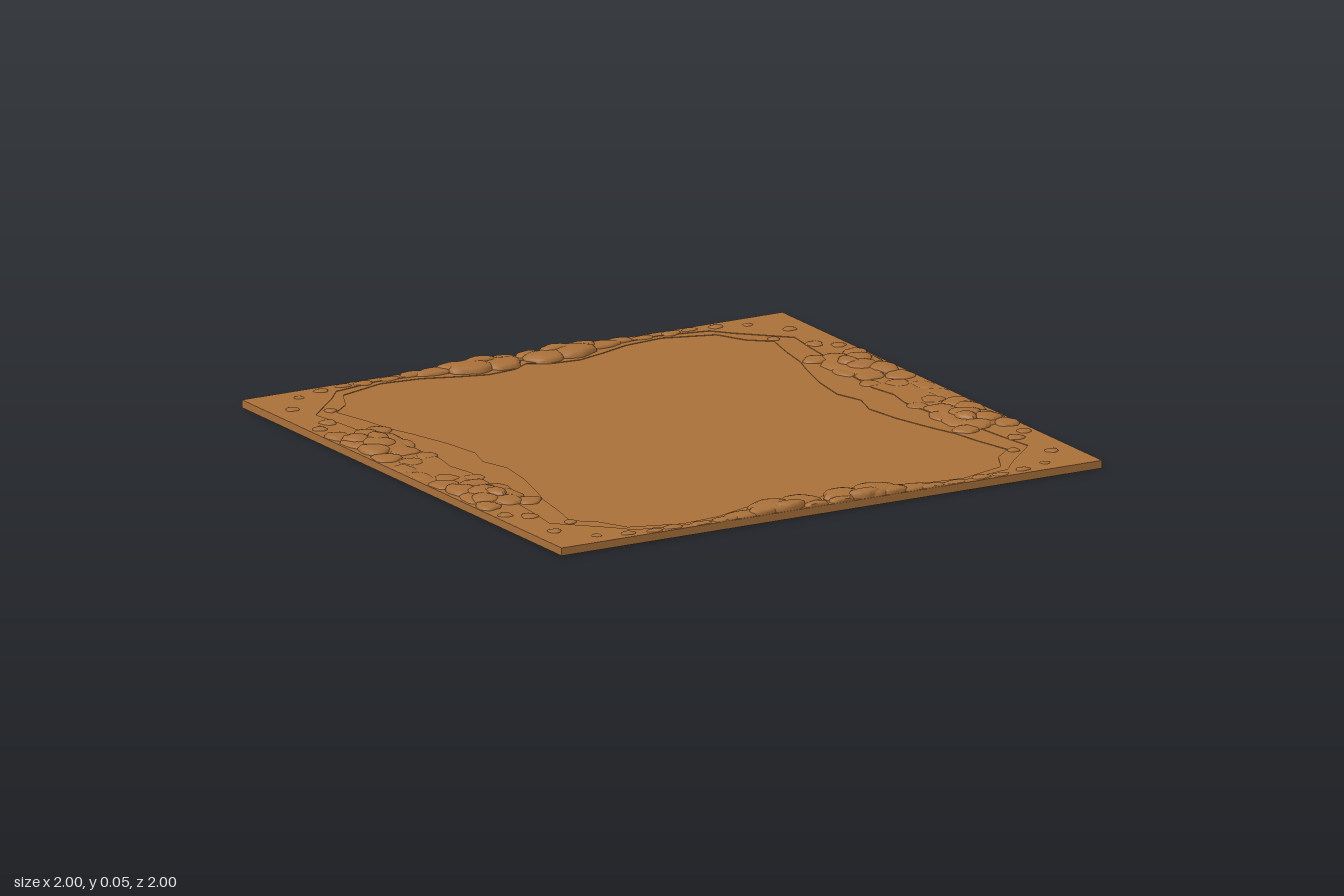
import * as THREE from 'three';

const SLAB = 0.022; // top of the ground slab

export function createModel() {
  const model = new THREE.Group();
  const earth = new THREE.MeshStandardMaterial({ color: 0xa9703a });
  earth.name = 'earth brown';
  const add = (name, geometry, parent = model) => {
    const mesh = new THREE.Mesh(geometry, earth);
    mesh.name = name;
    parent.add(mesh);
    return mesh;
  };

  // ground slab
  add('groundSlab', new THREE.BoxGeometry(2, SLAB, 2).translate(0, SLAB / 2, 0));

  // one quadrant of the ragged inner edge of the raised border, as [x, z]
  const quadrant = [
    [0, 0.91], [0.07, 0.87], [0.17, 0.86], [0.27, 0.89], [0.38, 0.93], [0.52, 0.945], [0.69, 0.89],
    [0.74, 0.79], [0.81, 0.73], [0.78, 0.6], [0.76, 0.48], [0.73, 0.39], [0.69, 0.24], [0.67, 0.1], [0.7, 0],
  ];
  const border = (name, shrink, y, h) => {
    const q = quadrant.map(([x, z]) => {
      const k = shrink * 0.1; // moves the edge outward, towards the nearer side
      return x > z ? [x + (1 - x) * k * 4, z] : [x, z + (1 - z) * k * 4];
    });
    const rev = [...q].reverse();
    const loop = [
      ...q,
      ...rev.slice(1).map(([x, z]) => [x, -z]),
      ...q.slice(1).map(([x, z]) => [-x, -z]),
      ...rev.slice(1, -1).map(([x, z]) => [-x, z]),
    ].map(([x, z]) => new THREE.Vector2(x, z));
    const shape = new THREE.Shape([[-1, -1], [1, -1], [1, 1], [-1, 1]].map((p) => new THREE.Vector2(...p)));
    shape.holes.push(new THREE.Path(loop));
    const geo = new THREE.ExtrudeGeometry(shape, { depth: h, bevelEnabled: false });
    add(name, geo.rotateX(-Math.PI / 2).translate(0, y, 0));
  };
  border('lowerBorder', 0, SLAB, 0.002);
  border('upperBorder', 1, SLAB + 0.002, 0.002);

  // flattened, lumpy stone with a broad top, cut off at the slab's sides
  const profile = [[1, 0], [0.97, 0.45], [0.86, 0.8], [0.62, 0.95], [0, 1]].map((p) => new THREE.Vector2(...p));
  const stone = (x, z, rx, rz, top, seed, sx, sz) => {
    const geo = new THREE.LatheGeometry(profile, 16);
    const p = geo.attributes.position;
    for (let i = 0; i < p.count; i++) {
      const a = Math.atan2(p.getZ(i), p.getX(i));
      const lump = 1 + 0.08 * Math.sin(3 * a + seed * 1.7) + 0.05 * Math.sin(5 * a + seed * 2.9);
      const px = x + p.getX(i) * rx * lump;
      const pz = z + p.getZ(i) * rz * lump;
      p.setXYZ(i, Math.min(px, 0.999) * sx, SLAB + p.getY(i) * (top - SLAB), Math.min(pz, 0.999) * sz);
    }
    // mirrored copies need their corner order turned round
    if (sx * sz < 0) geo.index.array.reverse();
    geo.computeVertexNormals();
    return geo;
  };

  // stones of one quadrant: x, z, half widths in x and z, top height
  const frontPile = [
    [0.08, 0.93, 0.07, 0.055, 0.043], [0.19, 0.94, 0.075, 0.06, 0.047], [0.14, 0.97, 0.06, 0.03, 0.05],
    [0.05, 0.98, 0.045, 0.03, 0.038], [0.24, 0.97, 0.05, 0.035, 0.044], [0.31, 0.965, 0.065, 0.035, 0.036],
    [0.38, 0.98, 0.05, 0.025, 0.033], [0.47, 0.975, 0.04, 0.02, 0.029], [0.57, 0.97, 0.035, 0.022, 0.031],
    [0.64, 0.975, 0.03, 0.018, 0.03],
  ];
  const sidePile = [
    [0.89, 0.35, 0.1, 0.13, 0.037], [0.89, 0.33, 0.055, 0.06, 0.046], [0.87, 0.37, 0.035, 0.045, 0.05],
    [0.94, 0.27, 0.05, 0.06, 0.042], [0.93, 0.4, 0.045, 0.05, 0.045], [0.87, 0.44, 0.05, 0.05, 0.039],
    [0.81, 0.47, 0.045, 0.04, 0.034], [0.96, 0.47, 0.04, 0.045, 0.037], [0.82, 0.3, 0.04, 0.05, 0.033],
    [0.86, 0.22, 0.05, 0.045, 0.034], [0.95, 0.18, 0.05, 0.05, 0.034], [0.9, 0.11, 0.04, 0.04, 0.03],
    [0.96, 0.05, 0.035, 0.05, 0.029], [0.82, 0.15, 0.035, 0.035, 0.029],
  ];
  const pebbles = [
    [0.9, 0.63, 0.028, 0.03, 0.032], [0.96, 0.58, 0.025, 0.025, 0.031], [0.92, 0.82, 0.024, 0.022, 0.031],
    [0.82, 0.75, 0.02, 0.02, 0.03], [0.73, 0.96, 0.026, 0.02, 0.031], [0.83, 0.93, 0.018, 0.018, 0.029],
  ];

  // the same stones in all four quadrants
  for (const sx of [1, -1]) {
    for (const sz of [1, -1]) {
      const corner = new THREE.Group();
      corner.name = (sz > 0 ? 'front' : 'back') + (sx > 0 ? 'Left' : 'Right') + 'Stones';
      model.add(corner);
      const piles = { edgeStone: frontPile, sideStone: sidePile, pebble: pebbles };
      for (const [name, list] of Object.entries(piles)) {
        list.forEach((s, i) => add(name, stone(...s, i, sx, sz), corner));
      }
    }
  }
  return model;
}
